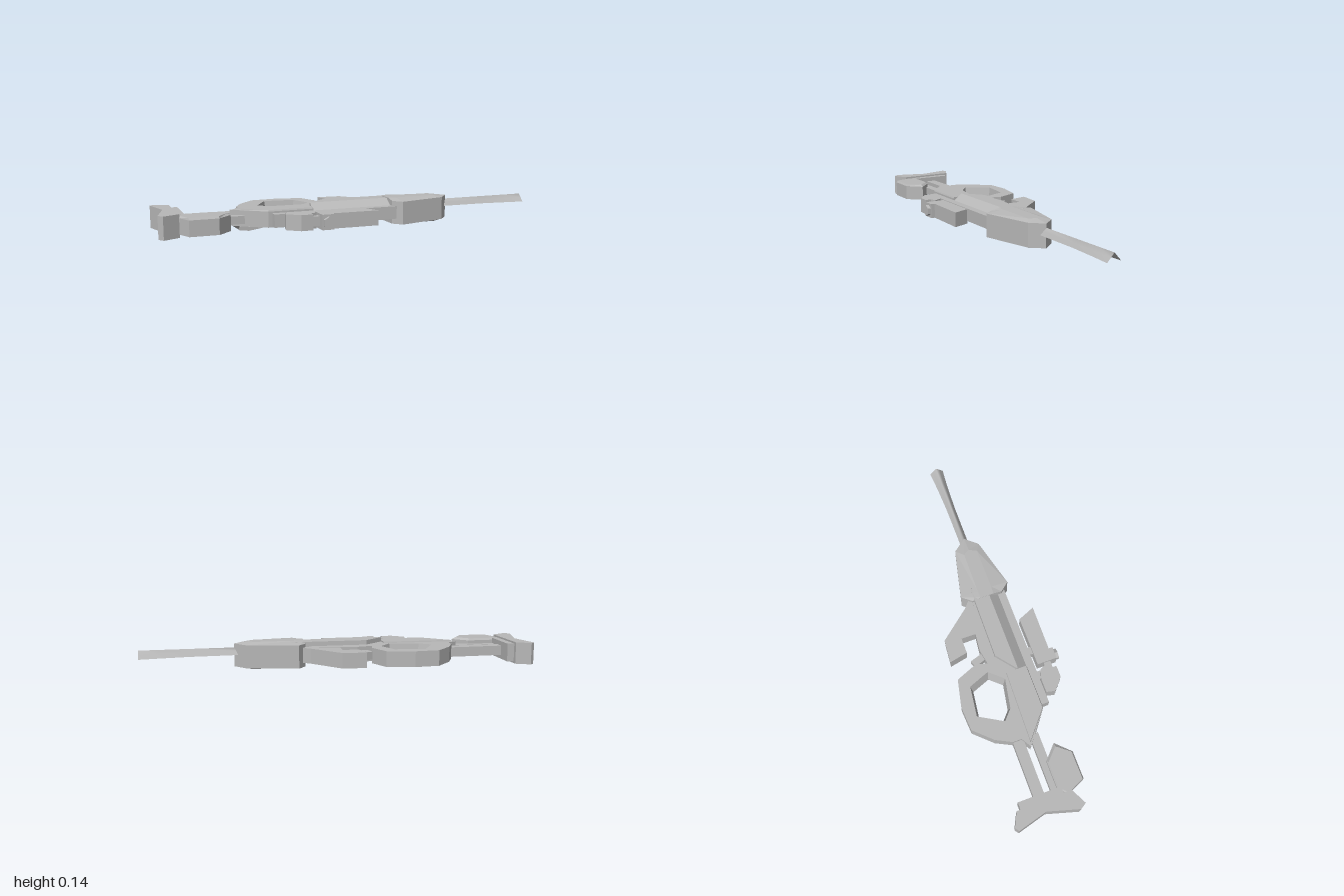
import * as THREE from 'three';

// One grey for the whole model; the parts are shells open underneath
const grey = new THREE.MeshStandardMaterial({ color: 0xb8b8b8, side: THREE.DoubleSide });
grey.name = 'grey';

export function createModel() {
  const model = new THREE.Group();

  const add = (name, geometry) => {
    const mesh = new THREE.Mesh(geometry, grey);
    mesh.name = name;
    model.add(mesh);
    return mesh;
  };

  const fromTriangles = (pos) => {
    const g = new THREE.BufferGeometry();
    g.setAttribute('position', new THREE.Float32BufferAttribute(pos, 3));
    g.computeVertexNormals();
    return g;
  };

  // Shell: an [x, z] outline raised from y0 to y1, without its bottom face
  const plate = (name, y0, y1, outline, hole) => {
    const toPoints = (list) => list.map(([x, z]) => new THREE.Vector2(x, -z));
    const shape = new THREE.Shape(toPoints(outline));
    if (hole) shape.holes.push(new THREE.Path(toPoints(hole)));
    const g = new THREE.ExtrudeGeometry(shape, { depth: y1 - y0, bevelEnabled: false });
    g.rotateX(-Math.PI / 2).translate(0, y0, 0);
    const all = g.attributes.position.array;
    const pos = [];
    for (let i = 0; i < all.length; i += 9) {
      if (Math.max(all[i + 1], all[i + 4], all[i + 7]) > y0 + 0.001) pos.push(...all.slice(i, i + 9));
    }
    return add(name, fromTriangles(pos));
  };

  const block = (name, x0, x1, y0, y1, z0, z1) =>
    plate(name, y0, y1, [[x0, z1], [x1, z1], [x1, z0], [x0, z0]]);

  // Stack of [x, z] outlines, each at its own height, with an optional top
  const stack = (name, layers, capped = true) => {
    const pos = [];
    const n = layers[0][1].length;
    const at = (l, i) => {
      const [x, z] = layers[l][1][i % n];
      return [x, layers[l][0], z];
    };
    const last = layers.length - 1;
    for (let l = 0; l < last; l++) {
      for (let i = 0; i < n; i++) {
        const a = at(l, i), b = at(l, i + 1), c = at(l + 1, i + 1), d = at(l + 1, i);
        pos.push(...a, ...b, ...c, ...a, ...c, ...d);
      }
    }
    for (let i = 1; capped && i < n - 1; i++) {
      pos.push(...at(last, 0), ...at(last, i), ...at(last, i + 1));
    }
    return add(name, fromTriangles(pos));
  };

  // Stock: end plate, inner plate, lower pad and the two rods
  plate('stockEnd', 0.015, 0.127, [[-0.98, 0.12], [-0.9, 0.08], [-0.905, -0.2],
    [-0.975, -0.235], [-0.995, -0.22], [-0.955, -0.07], [-1, 0.09]]);
  block('stockInnerPlate', -0.905, -0.868, 0.025, 0.118, -0.18, 0.04);
  const pad = [[-0.87, 0.157], [-0.73, 0.157], [-0.66, 0.085], [-0.73, 0.02], [-0.87, 0.02], [-0.91, 0.06]];
  stack('stockPad', [[0.03, pad], [0.108, pad],
    [0.118, [[-0.87, 0.15], [-0.73, 0.15], [-0.68, 0.085], [-0.74, 0.027], [-0.87, 0.027], [-0.9, 0.06]]]]);
  block('upperRod', -0.88, -0.58, 0.045, 0.095, -0.1, -0.045);
  block('lowerRod', -0.88, -0.58, 0.05, 0.09, -0.01, 0.035);

  // Body with the ring shaped grip, whose opening narrows downwards
  const hole = [[-0.48, -0.1], [-0.41, -0.223], [-0.255, -0.203], [-0.213, -0.095], [-0.275, -0.025], [-0.427, -0.053]];
  plate('bodyAndGrip', 0.035, 0.114, [
    [-0.48, 0.1], [-0.25, 0.1], [-0.25, 0.04], [0.2, 0.04], [0.2, -0.03], [0, -0.085],
    [-0.09, -0.095], [-0.17, -0.08], [-0.155, -0.14], [-0.2, -0.25], [-0.34, -0.28],
    [-0.465, -0.272], [-0.55, -0.18], [-0.59, -0.1], [-0.59, -0.055], [-0.64, -0.025]], hole);
  const narrowed = hole.map(([x, z]) => [-0.345 + (x + 0.345) * 0.87, -0.12 + (z + 0.12) * 0.87]);
  stack('gripOpening', [[0.035, narrowed], [0.114, hole]], false);
  stack('bodyRear', [
    [0.014, [[-0.6, 0.005], [-0.56, 0.035], [-0.54, 0.0], [-0.6, -0.02]]],
    [0.035, [[-0.6, 0.01], [-0.5, 0.085], [-0.47, 0], [-0.63, -0.025]]]], false);
  stack('rearDeck', [
    [0.114, [[-0.48, 0.1], [-0.25, 0.1], [-0.25, -0.01], [-0.62, -0.02]]],
    [0.121, [[-0.477, 0.097], [-0.25, 0.097], [-0.25, -0.008], [-0.615, -0.018]]]]);

  // Raised spine with a sloping panel along one side
  const spineFoot = [[-0.25, 0.1], [0.2, 0.1], [0.24, -0.03], [-0.15, -0.035], [-0.25, 0.045]];
  stack('spine', [[0.035, spineFoot], [0.1, spineFoot],
    [0.137, [[-0.25, 0.052], [0.2, 0.052], [0.24, -0.028], [-0.15, -0.033], [-0.25, 0.047]]]]);

  // Trigger and its guard
  plate('triggerGuard', 0.035, 0.112, [[-0.03, 0], [0.2, 0], [0.22, -0.03], [0.15, -0.09],
    [0.02, -0.245], [-0.1, -0.255], [-0.08, -0.16], [0, -0.16], [0, -0.085]]);
  plate('trigger', 0.055, 0.095, [[-0.14, -0.08], [-0.105, -0.09], [-0.125, -0.155], [-0.16, -0.14]]);

  // Front shroud with a narrow raised deck and a thin lower rim
  const shroud = [[0.17, 0.12], [0.21, 0.167], [0.47, 0.1], [0.525, 0.037],
    [0.47, -0.032], [0.21, -0.09], [0.17, -0.04]];
  const deck = [[0.17, 0.075], [0.21, 0.077], [0.43, 0.076], [0.45, 0.037],
    [0.43, 0.005], [0.21, 0.002], [0.17, 0.005]];
  stack('frontShroud', [[0.012, shroud], [0.13, shroud], [0.14, deck]]);
  stack('shroudLowerRim', [
    [0, [[0.22, 0.075], [0.44, 0.075], [0.44, 0.005], [0.22, 0.005]]],
    [0.012, [[0.19, 0.1], [0.46, 0.1], [0.46, -0.025], [0.19, -0.025]]]], false);

  // Side rail and its attachment
  block('sideRail', -0.46, 0.2, 0.04, 0.105, 0.1, 0.14);
  for (const x of [-0.33, -0.195]) block('railMount', x, x + 0.04, 0.05, 0.095, 0.13, 0.175);
  plate('sideUnitRear', 0.035, 0.112, [[-0.36, 0.242], [-0.3, 0.242], [-0.3, 0.21], [-0.27, 0.2],
    [-0.29, 0.16], [-0.34, 0.145], [-0.41, 0.145], [-0.42, 0.19]]);
  block('sideUnitLink', -0.31, -0.25, 0.05, 0.098, 0.19, 0.225);
  plate('sideUnitFront', 0.035, 0.11, [[-0.26, 0.26], [-0.2, 0.26], [-0.2, 0.24], [0.037, 0.244],
    [0, 0.157], [-0.26, 0.157]]);
  const knobShape = new THREE.CylinderGeometry(0.029, 0.029, 0.05, 6).toNonIndexed();
  knobShape.computeVertexNormals();
  const knob = add('sideKnob', knobShape);
  knob.rotation.x = Math.PI / 2;
  knob.position.set(-0.23, 0.072, 0.252);

  // Barrel: open, roof shaped sheet that flares towards the muzzle
  const sections = [[0.48, 0.022, 0.074], [0.75, 0.023, 0.073], [0.9, 0.029, 0.071], [1, 0.037, 0.07]];
  const pos = [], index = [];
  sections.forEach(([x, half, foot], s) => {
    for (let k = 0; k < 5; k++) {
      const t = k / 2 - 1;
      pos.push(x, foot + (0.11 - foot) * (1 - Math.abs(t)), 0.036 + half * t);
      if (s && k) {
        const d = s * 5 + k;
        index.push(d - 5, d - 6, d, d, d - 6, d - 1);
      }
    }
  });
  const barrel = new THREE.BufferGeometry();
  barrel.setAttribute('position', new THREE.Float32BufferAttribute(pos, 3));
  barrel.setIndex(index);
  barrel.computeVertexNormals();
  add('barrel', barrel);

  return model;
}
